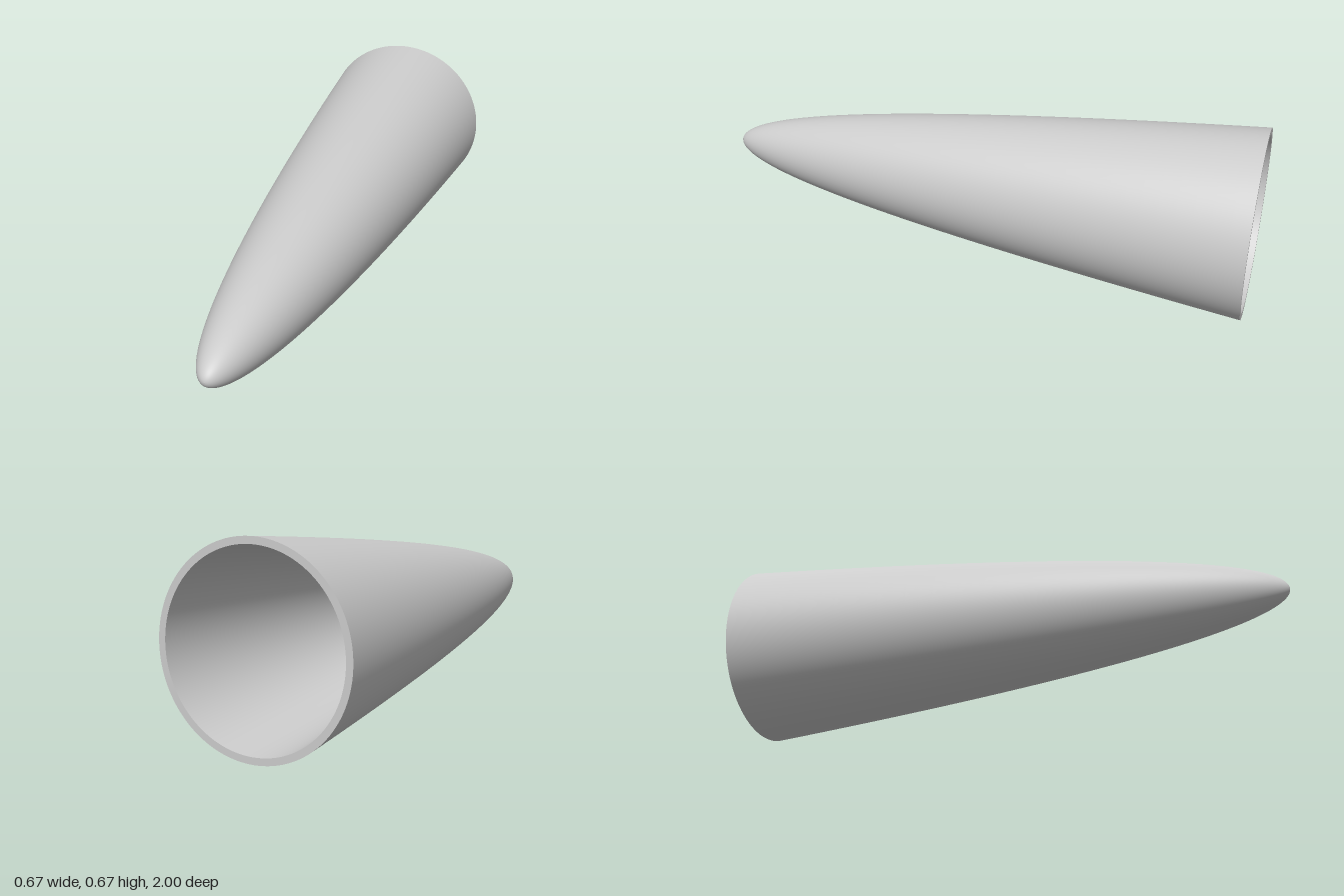
import * as THREE from 'three';

const R = 0.333, WALL = 0.023, SEGMENTS = 128, STEPS = 64;

// Parabolic profile from the open base (y = -1) to the tip; even steps in radius
function parabola(radius, tip) {
  const points = [];
  for (let i = 0; i <= STEPS; i++) {
    const t = 1 - i / STEPS;
    points.push(new THREE.Vector2(radius * t, tip - (tip + 1) * t * t));
  }
  return points;
}

export function createModel() {
  const group = new THREE.Group();
  group.name = 'noseCone';
  const material = new THREE.MeshStandardMaterial({ color: 0xcccccc });

  // Revolve a profile, then lay its axis along z with the tip forward
  const addLathe = (name, points) => {
    const geometry = new THREE.LatheGeometry(points, SEGMENTS);
    geometry.rotateX(Math.PI / 2);
    geometry.translate(0, R, 0);
    const mesh = new THREE.Mesh(geometry, material);
    mesh.name = name;
    group.add(mesh);
  };

  // Outer skin
  addLathe('outerShell', parabola(R, 1));
  // Hollow inside, reversed so it faces inward
  addLathe('innerShell', parabola(R - WALL, 1 - WALL).reverse());
  // Flat ring closing the wall at the open end
  addLathe('baseRim', [new THREE.Vector2(R - WALL, -1), new THREE.Vector2(R, -1)]);

  return group;
}
